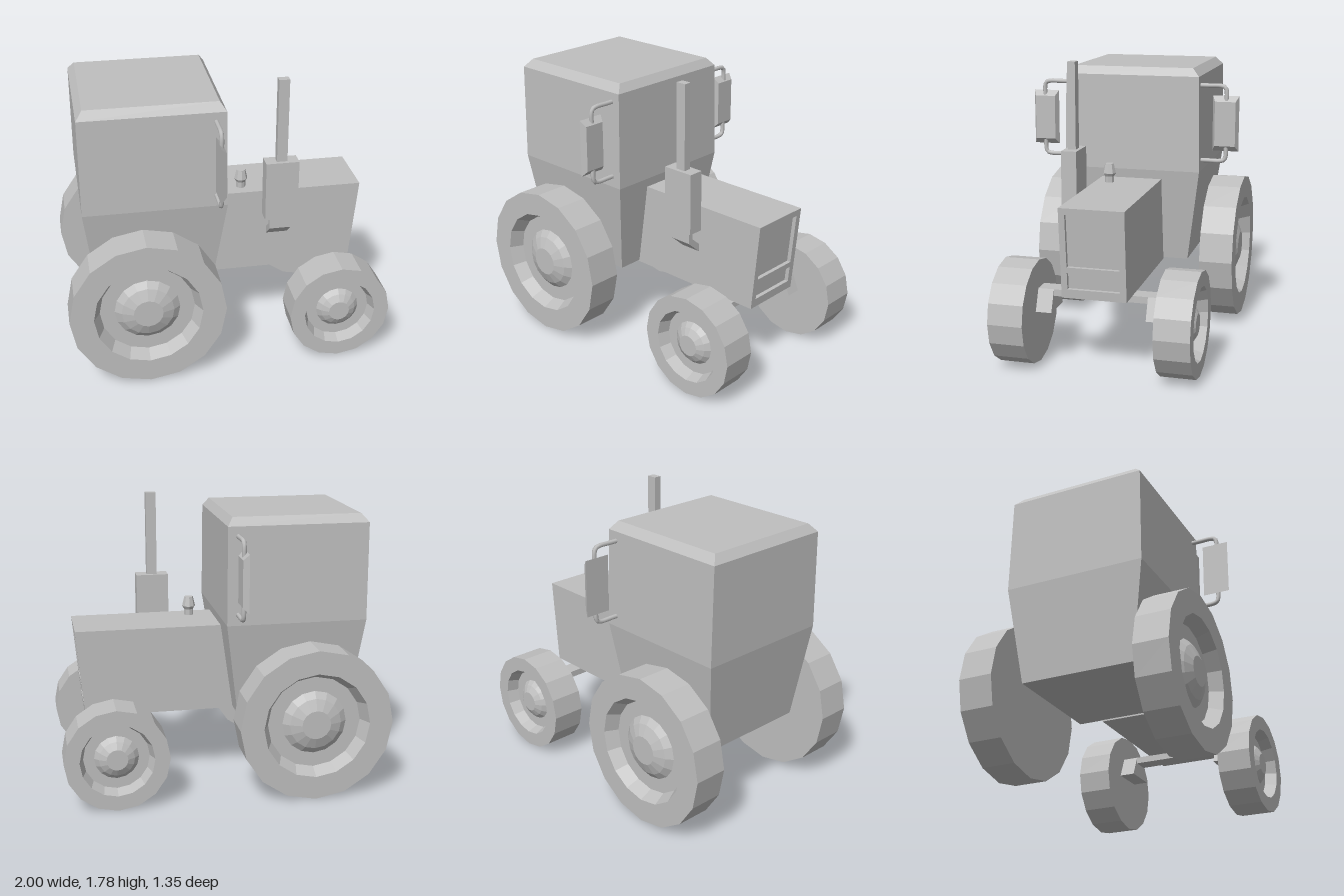
import * as THREE from 'three';

// Faceted normals
function flat(geo) {
  const g = geo.index ? geo.toNonIndexed() : geo;
  g.computeVertexNormals();
  return g;
}

// Solid through rectangular levels [y, xMin, xMax, halfDepth], bottom to top
function loft(levels) {
  const pos = [], idx = [];
  for (const [y, x0, x1, h] of levels) pos.push(x0, y, h, x1, y, h, x1, y, -h, x0, y, -h);
  for (let l = 0; l < levels.length - 1; l++) {
    for (let i = 0; i < 4; i++) {
      const a = l * 4 + i, b = l * 4 + (i + 1) % 4;
      idx.push(a, b, b + 4, a, b + 4, a + 4);
    }
  }
  const t = (levels.length - 1) * 4;
  idx.push(0, 2, 1, 0, 3, 2, t, t + 1, t + 2, t, t + 2, t + 3);
  const g = new THREE.BufferGeometry();
  g.setAttribute('position', new THREE.Float32BufferAttribute(pos, 3));
  g.setIndex(idx);
  return flat(g);
}

// Box from its limits
function box(x0, x1, y0, y1, z0, z1) {
  return new THREE.BoxGeometry(x1 - x0, y1 - y0, z1 - z0)
    .translate((x0 + x1) / 2, (y0 + y1) / 2, (z0 + z1) / 2);
}

function polygon(points) {
  return new THREE.Shape(points.map(([x, y]) => new THREE.Vector2(x, y)));
}

function rect(w, y0, y1) {
  return [[-w, y0], [w, y0], [w, y1], [-w, y1]];
}

// Wheel with a dished rim and raised hub, axis along z, outer face toward +z
function wheelGeometry(radius, width, rim, dish, hub, cap, depth) {
  const o = width / 2;
  const profile = [
    [0, -o], [radius, -o], [radius, o], [rim, o], [dish, o - depth], [hub, o - depth],
    [hub * 0.8, o - depth * 0.6], [cap, o - depth * 0.25], [0, o - depth * 0.25],
  ].map(([r, y]) => new THREE.Vector2(r, y));
  return flat(new THREE.LatheGeometry(profile, 16).rotateX(Math.PI / 2));
}

export function createModel() {
  const root = new THREE.Group();
  const grey = new THREE.MeshStandardMaterial({ color: 0xbfbfbf });
  grey.name = 'light grey';

  const add = (name, geo, parent = root) => {
    const m = new THREE.Mesh(geo, grey);
    m.name = name;
    parent.add(m);
    return m;
  };

  // Cab with bevelled roof and tapered lower half
  add('cab', loft([
    [0.475, -0.805, -0.095, 0.355],
    [1.07, -0.88, -0.01, 0.44],
    [1.67, -0.88, -0.015, 0.43],
    [1.72, -0.84, -0.05, 0.385],
  ]));

  // Hood with leaning front
  const frontX = y => 0.885 - 0.09 * (1.012 - y);
  const frame = 0.025;
  add('hood', loft([
    [0.465, -0.1, frontX(0.465) - frame, 0.195],
    [1.012, -0.1, frontX(1.012) - frame, 0.195],
  ]));

  // Grille frame with two openings, sheared to follow the leaning front
  const grille = polygon(rect(0.195, 0.465, 1.012));
  for (const [y0, y1] of [[0.655, 0.972], [0.52, 0.62]]) {
    grille.holes.push(polygon(rect(0.158, y0, y1)));
  }
  const grilleGeo = new THREE.ExtrudeGeometry(grille, { depth: frame, bevelEnabled: false })
    .rotateY(Math.PI / 2);
  const p = grilleGeo.attributes.position;
  for (let i = 0; i < p.count; i++) p.setX(i, p.getX(i) + frontX(p.getY(i)) - frame);
  add('grilleFrame', flat(grilleGeo));

  // Filler cap on the hood
  const capProfile = [[0.03, 1.0], [0.03, 1.05], [0.042, 1.07], [0.028, 1.13], [0, 1.13]]
    .map(([r, y]) => new THREE.Vector2(r, y));
  add('fillerCap', flat(new THREE.LatheGeometry(capProfile, 8).translate(0.135, 0, 0.104)));

  // Exhaust: elbow out of the hood, muffler and stack
  const elbow = polygon([[0.288, 0.87], [0.255, 0.87], [0.255, 0.81], [0.19, 0.755],
    [0.19, 0.705], [0.288, 0.79]]);
  add('exhaustElbow', flat(new THREE.ExtrudeGeometry(elbow, { depth: 0.135, bevelEnabled: false })
    .rotateY(-Math.PI / 2).translate(0.42, 0, 0)));
  add('muffler', box(0.25, 0.455, 0.87, 1.255, 0.22, 0.316));
  add('exhaustStack', box(0.32, 0.385, 1.25, 1.785, 0.244, 0.292));

  // Front axle
  add('frontAxle', box(0.6, 0.705, 0.425, 0.466, -0.39, 0.39));

  const rearWheel = wheelGeometry(0.475, 0.213, 0.33, 0.29, 0.2, 0.09, 0.08);
  const frontWheel = wheelGeometry(0.318, 0.213, 0.225, 0.2, 0.135, 0.065, 0.07);
  const axleBlock = loft([[0.335, 0.545, 0.76, 0.05], [0.466, 0.6, 0.705, 0.05]]);
  const mirrorBox = loft([[-0.093, -0.175, 0.175, 0.083], [-0.058, -0.14, 0.14, 0.065]])
    .rotateZ(-Math.PI / 2);

  for (const s of [1, -1]) {
    // Wheels and axle blocks
    for (const [name, geo, x, y, z] of [
      ['rearWheel', rearWheel, -0.527, 0.475, 0.547],
      ['frontWheel', frontWheel, 0.68, 0.318, 0.492],
    ]) {
      const wheel = add(name, geo);
      wheel.position.set(x, y, s * z);
      if (s < 0) wheel.rotation.y = Math.PI;
    }
    add('axleBlock', axleBlock).position.z = s * 0.338;

    // Side mirror with upper and lower brackets
    const mirror = new THREE.Group();
    mirror.name = 'sideMirror';
    root.add(mirror);
    add('mirrorHousing', mirrorBox, mirror).position.set(0, 1.375, s * 0.59);
    for (const v of [1, -1]) {
      const path = new THREE.CatmullRomCurve3(
        [[0.4, 0.237], [0.48, 0.237], [0.56, 0.237], [0.586, 0.228], [0.595, 0.205], [0.595, 0.13]]
          .map(([z, y]) => new THREE.Vector3(-0.077, 1.375 + v * y, s * z)));
      add('mirrorBracket', new THREE.TubeGeometry(path, 16, 0.014, 8), mirror);
    }
  }
  return root;
}
